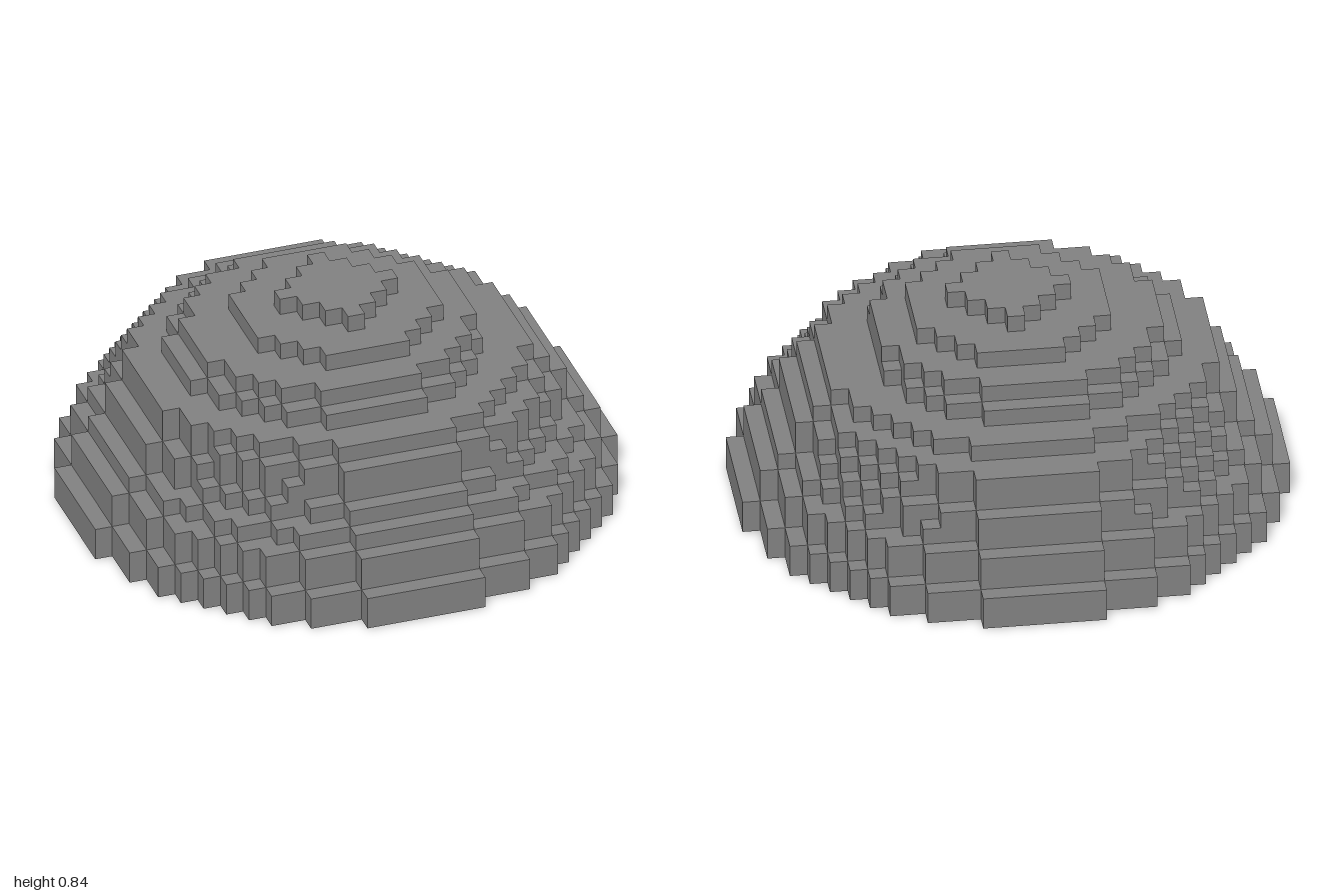
import * as THREE from 'three';

const V = 2 / 31; // edge of one block

// Stepped outline of one layer: each row of blocks is cut to a rounded limit
// that may differ on the four sides.
function layerShape(left, right, back, front, power) {
  const r0 = -Math.floor(back), r1 = Math.floor(front);
  const span = (z, rx) => {
    const rz = z < 0 ? back : front;
    const t = 1 - Math.pow(Math.abs(z) / rz, power);
    return Math.floor(rx * Math.pow(t, 1 / power) + 1e-6) + 0.5;
  };
  const points = [];
  const add = (x, z) => points.push(new THREE.Vector2(x * V, z * V));
  for (let z = r0; z <= r1; z++) {
    add(span(z, right), z - 0.5);
    add(span(z, right), z + 0.5);
  }
  for (let z = r1; z >= r0; z--) {
    add(-span(z, left), z + 0.5);
    add(-span(z, left), z - 0.5);
  }
  // drop repeated corners along straight runs
  const corners = points.filter((p, i) => {
    const a = points[(i + points.length - 1) % points.length];
    return p.distanceTo(a) > 1e-6;
  });
  return new THREE.Shape(corners);
}

export function createModel() {
  const model = new THREE.Group();
  model.name = 'steppedDome';
  const stone = new THREE.MeshStandardMaterial({ color: 0x808080 });
  stone.name = 'stone grey';
  const dark = new THREE.MeshStandardMaterial({ color: 0x22242e });
  dark.name = 'dark slate';

  // bottom row, rows high, then reach to -x, +x, -z, +z in blocks
  const layers = [
    [0, 2, 15.5, 15.5, 15.5, 15.5],
    [2, 2, 14.5, 14.5, 14.5, 14.5],
    [4, 1, 13.5, 13.5, 13.5, 13.5],
    [5, 1, 12.5, 12.5, 13.5, 12.5],
    [6, 1, 12.5, 12.5, 12.5, 11.5],
    [7, 1, 11.5, 11.5, 12.5, 11.5],
    [8, 1, 11.5, 10.5, 10.5, 10.5],
    [9, 1, 9.5, 7.5, 8.5, 8.5],
    [10, 1, 8.5, 7.5, 7.5, 7.5],
    [11, 1, 5.5, 5.5, 5.5, 5.5],
    [12, 1, 3.5, 3.5, 3.5, 3.5, 1], // diamond cap
  ];
  const dome = new THREE.Group();
  dome.name = 'dome';
  layers.forEach(([row, rows, left, right, back, front, power = 2], i) => {
    const lift = row === 0 ? 0.003 : 0; // room for the studs underneath
    const geometry = new THREE.ExtrudeGeometry(
      layerShape(left, right, back, front, power),
      { depth: rows * V - lift, bevelEnabled: false });
    geometry.rotateX(Math.PI / 2).translate(0, (row + rows) * V, 0);
    const mesh = new THREE.Mesh(geometry, stone);
    mesh.name = i === layers.length - 1 ? 'domeCap' : 'domeLayer' + (i + 1);
    dome.add(mesh);
  });
  model.add(dome);

  // small dark studs in four mirrored clusters under the base
  const studs = new THREE.Group();
  studs.name = 'undersideStuds';
  const studGeometry = new THREE.CylinderGeometry(0.019, 0.019, 0.006, 8);
  const cluster = [[3, 2], [2, 3], [4, 4], [8, 3], [7, 5], [5, 7], [3, 8]];
  for (const sx of [-1, 1]) for (const sz of [-1, 1]) for (const [x, z] of cluster) {
    const stud = new THREE.Mesh(studGeometry, dark);
    stud.name = 'stud';
    stud.position.set(sx * x * V, 0.003, sz * z * V);
    studs.add(stud);
  }
  model.add(studs);
  return model;
}
